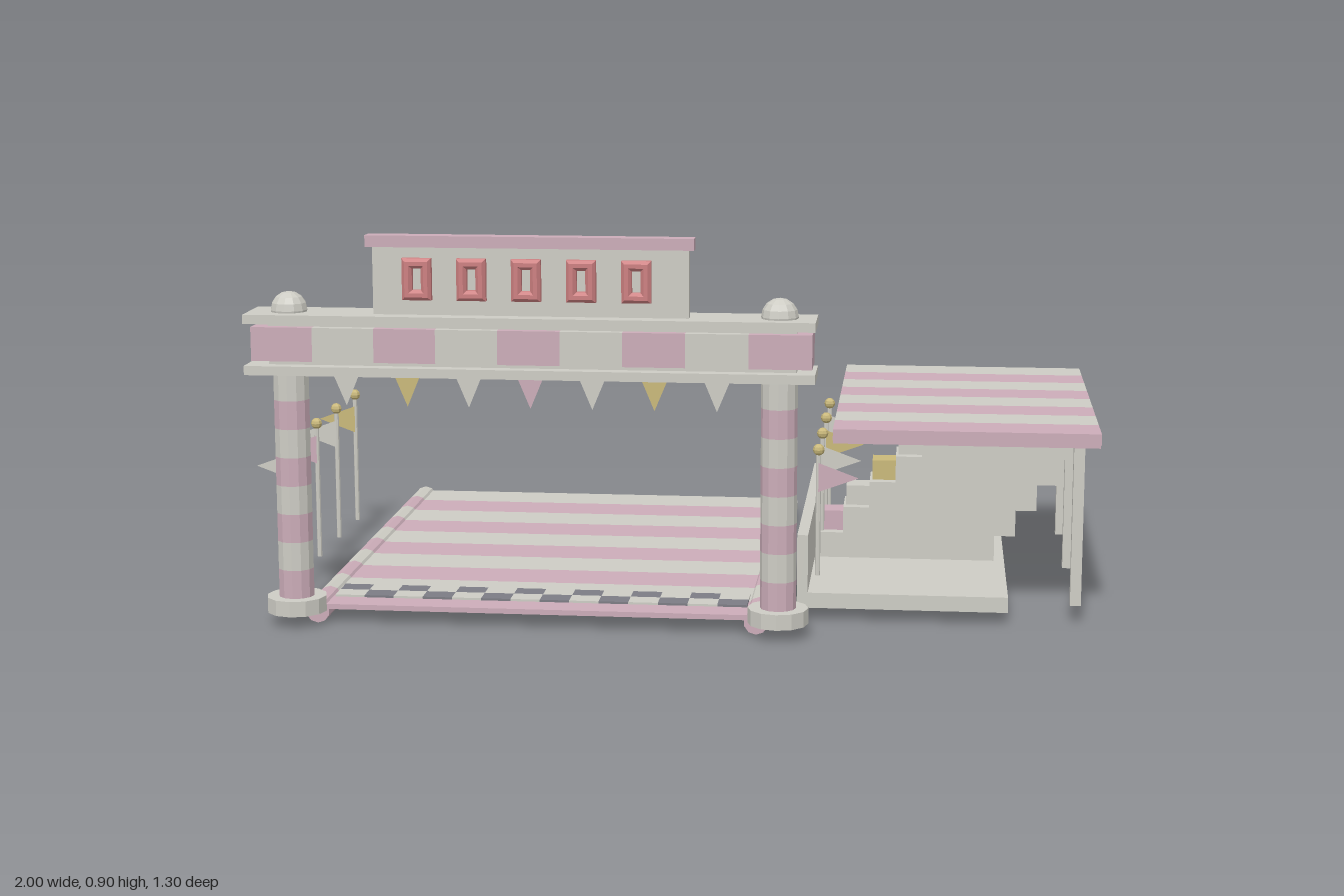
import * as THREE from 'three';

const paint = (name, color) => {
  const m = new THREE.MeshStandardMaterial({ color });
  m.name = name;
  return m;
};

export function createModel() {
  const root = new THREE.Group();
  root.name = 'raceGateAndGrandstand';
  const cream = paint('cream', 0xcdccc4);
  const pink = paint('pink', 0xcbacb8);
  const red = paint('red', 0xcc7f80);
  const gold = paint('gold', 0xc9b87a);
  const dark = paint('darkGrey', 0x7c7c84);
  const flat = [cream, pink, gold].map((m) => {
    const c = m.clone();
    c.name = m.name + 'Cloth';
    c.side = THREE.DoubleSide;
    return c;
  });
  const [creamCloth, pinkCloth, goldCloth] = flat;

  const add = (name, geo, mat, x = 0, y = 0, z = 0, parent = root) => {
    const mesh = new THREE.Mesh(geo, mat);
    mesh.name = name;
    mesh.position.set(x, y, z);
    parent.add(mesh);
    return mesh;
  };
  // box given by its limits on each axis
  const box = (name, mat, x0, x1, y0, y1, z0, z1, parent = root) =>
    add(name, new THREE.BoxGeometry(x1 - x0, y1 - y0, z1 - z0), mat,
      (x0 + x1) / 2, (y0 + y1) / 2, (z0 + z1) / 2, parent);
  const facet = (geo) => {
    const g = geo.toNonIndexed();
    g.computeVertexNormals();
    return g;
  };
  const group = (name) => {
    const g = new THREE.Group();
    g.name = name;
    root.add(g);
    return g;
  };
  const triangle = (a, b, c) => new THREE.ShapeGeometry(
    new THREE.Shape([a, b, c].map((p) => new THREE.Vector2(...p))));

  // striped track with round rails along both sides
  const track = group('track');
  const step = 1.23 / 10;
  for (let i = 0; i < 10; i++) {
    const z0 = -0.65 + i * step;
    const mat = i % 2 ? pink : cream;
    box('trackStripe', mat, -0.775, 0.225, 0.033, 0.045, z0, z0 + step, track);
    for (const x of [-0.783, 0.23]) {
      const geo = facet(new THREE.CylinderGeometry(0.028, 0.028, step, 10).rotateX(Math.PI / 2));
      add('trackRail', geo, mat, x, 0.028, z0 + step / 2, track);
    }
  }

  // checkered line
  const cell = 0.962 / 14;
  for (let i = 0; i < 14; i++) {
    for (let j = 0; j < 2; j++) {
      const x = -0.757 + i * cell, z = 0.412 + j * 0.05;
      box('checkerTile', (i + j) % 2 ? cream : dark, x, x + cell, 0.045, 0.05, z, z + 0.05, track);
    }
  }

  // gate pillars with bands, bases and domes
  const gate = group('gate');
  const gz = 0.582;
  for (const x of [-0.83, 0.28]) {
    add('pillarBase', facet(new THREE.CylinderGeometry(0.069, 0.069, 0.036, 12)), cream, x, 0.048, gz, gate);
    for (let i = 0; i < 8; i++) {
      add('pillarBand', facet(new THREE.CylinderGeometry(0.041, 0.041, 0.0656, 12)),
        i % 2 ? cream : pink, x, 0.066 + (i + 0.5) * 0.0656, gz, gate);
    }
    add('dome', facet(new THREE.SphereGeometry(0.042, 12, 8)), cream, x, 0.73, gz, gate);
  }

  // gate beam
  box('lowerLedge', cream, -0.92, 0.362, 0.589, 0.61, 0.515, 0.65, gate);
  box('upperLedge', cream, -0.92, 0.362, 0.705, 0.726, 0.515, 0.65, gate);
  box('beamCore', cream, -0.87, 0.32, 0.6, 0.715, 0.545, 0.62, gate);
  for (let i = 0; i < 9; i++) {
    const x = -0.905 + i * 0.14;
    box('beamPanel', i % 2 ? cream : pink, x, x + 0.14, 0.62, 0.697, 0.53, 0.64, gate);
  }

  // sign board with a row of bevelled frames
  box('signBoard', cream, -0.63, 0.08, 0.726, 0.878, 0.585, 0.61, gate);
  box('signCap', pink, -0.645, 0.092, 0.878, 0.904, 0.578, 0.618, gate);
  const rect = (w, h, Type) => new Type([[-w, -h], [w, -h], [w, h], [-w, h]]
    .map((p) => new THREE.Vector2(...p)));
  const frameShape = rect(0.026, 0.04, THREE.Shape);
  frameShape.holes.push(rect(0.017, 0.031, THREE.Path));
  const frameGeo = new THREE.ExtrudeGeometry(frameShape, {
    depth: 0.012, bevelEnabled: true, bevelThickness: 0.007, bevelSize: 0.007, bevelSegments: 1,
  });
  for (let i = 0; i < 5; i++) {
    add('signFrame', frameGeo, red, -0.527 + i * 0.123, 0.808, 0.616, gate);
  }

  // bunting under the beam
  const bunting = triangle([-0.031, 0], [0, -0.074], [0.031, 0]);
  [creamCloth, goldCloth, creamCloth, pinkCloth, creamCloth, goldCloth, creamCloth].forEach((mat, i) =>
    add('bunting', bunting, mat, -0.698 + i * 0.14, 0.589, 0.6, gate));

  // flagpoles on both sides of the track
  const flagColors = {
    '-1': [creamCloth, pinkCloth, creamCloth, goldCloth],
    1: [pinkCloth, creamCloth, goldCloth, creamCloth],
  };
  const poles = group('flagpoles');
  for (const side of [-1, 1]) {
    const x = side < 0 ? -0.905 : 0.355;
    const flag = triangle([0, 0.035], [side * 0.095, 0], [0, -0.035]);
    flagColors[side].forEach((mat, i) => {
      const z = 0.278 - i * 0.205;
      add('pole', facet(new THREE.CylinderGeometry(0.006, 0.006, 0.33, 8)), cream, x, 0.195, z, poles);
      add('poleBall', facet(new THREE.SphereGeometry(0.014, 8, 6)), gold, x, 0.37, z, poles);
      add('pennant', flag, mat, x, 0.304, z + 0.006, poles);
    });
  }

  // grandstand platform and low wall
  const stand = group('grandstand');
  box('platform', cream, 0.32, 0.8, 0.03, 0.066, -0.377, 0.445, stand);
  box('lowWall', cream, 0.315, 0.34, 0.03, 0.202, -0.377, 0.445, stand);

  // stepped tiers with coloured seats
  const left = (i) => 0.345 + i * 0.063;
  const tierSeats = [pink, cream, gold, cream];
  for (let i = 0; i < 5; i++) {
    const y = 0.064 + i * 0.064;
    box('tier', cream, left(i), 0.775 + i * 0.05, y, y + 0.064, -0.027, 0.095, stand);
    if (i < 4) box('seat', tierSeats[i], left(i) + 0.006, left(i + 1), y + 0.064, y + 0.112, 0, 0.068, stand);
  }
  [pink, pink, pink, gold, cream].forEach((mat, i) => {
    const x = 0.6 + i * 0.08;
    box('topSeat', mat, x, x + 0.064, 0.384, 0.424, 0, 0.068, stand);
  });

  // striped canopy on rear posts
  box('canopyUnderside', pink, 0.396, 0.999, 0.423, 0.43, -0.435, 0.466, stand);
  for (let i = 0; i < 8; i++) {
    const z = -0.437 + i * 0.113;
    box('canopyStripe', i % 2 ? pink : cream, 0.395, 1, 0.43, 0.456, z, z + 0.113, stand);
  }
  for (const z of [0.392, 0.035, -0.322]) {
    box('canopyPost', cream, 0.943, 0.968, 0.04, 0.425, z - 0.0125, z + 0.0125, stand);
  }
  return root;
}
